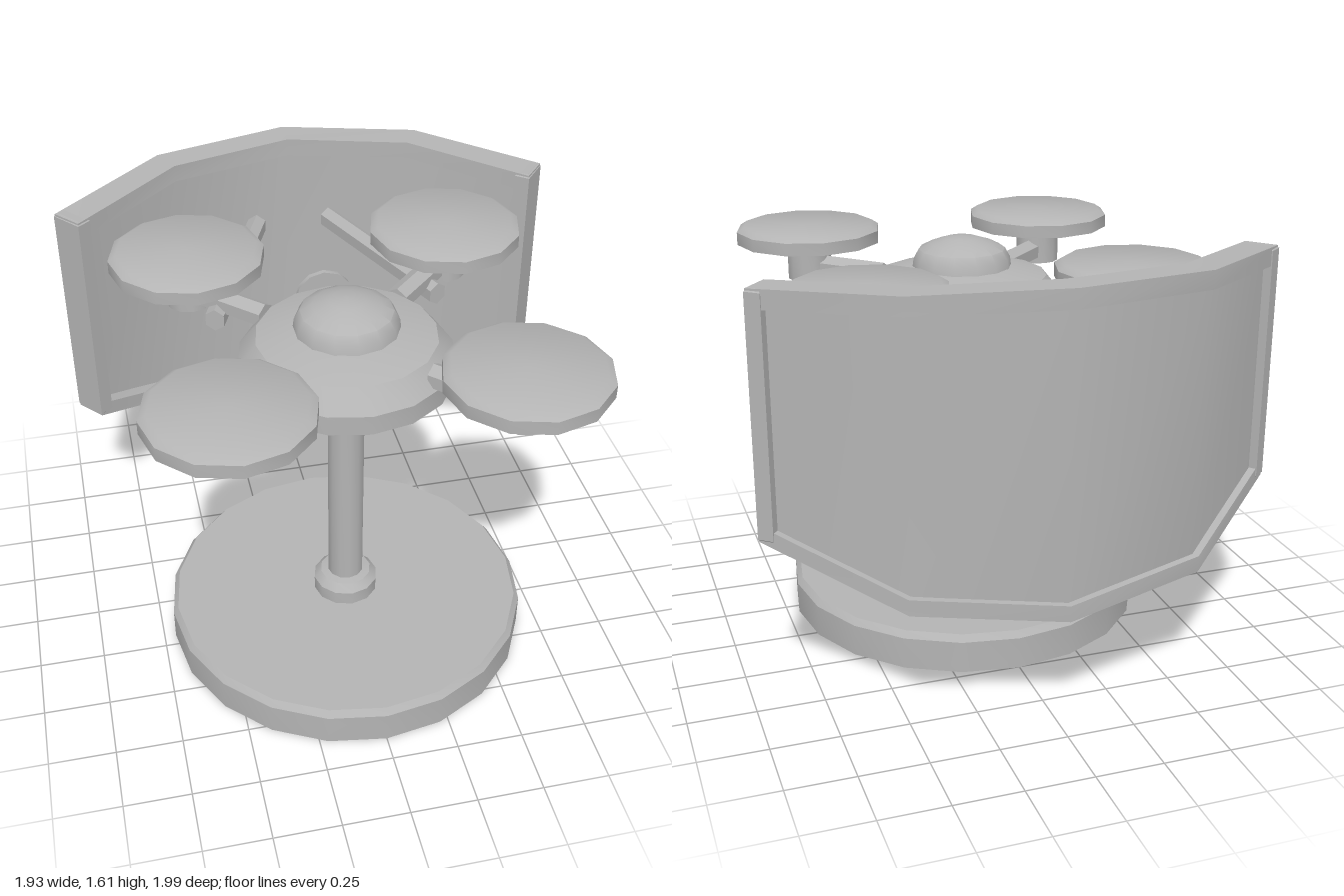
import * as THREE from 'three';
import { toCreasedNormals } from 'three/addons/utils/BufferGeometryUtils.js';

export function createModel() {
  const model = new THREE.Group();
  // Double sided: the base, motors and rotors are shells open underneath
  const grey = new THREE.MeshStandardMaterial({ color: 0xb4b4b4, side: THREE.DoubleSide });
  grey.name = 'grey';

  const add = (name, geometry, x = 0, y = 0, z = 0) => {
    const mesh = new THREE.Mesh(toCreasedNormals(geometry, 0.6), grey);
    mesh.name = name;
    mesh.position.set(x, y, z);
    model.add(mesh);
    return mesh;
  };
  // Turned part from [radius, height] pairs, bottom to top
  const turned = (profile, sides) =>
    new THREE.LatheGeometry(profile.map(([r, y]) => new THREE.Vector2(r, y)), sides);
  // Six-sided bar between two points
  const bar = (name, from, to, radius, flatten = 1) => {
    const a = new THREE.Vector3(...from), b = new THREE.Vector3(...to);
    const g = new THREE.CylinderGeometry(radius, radius, a.distanceTo(b), 6);
    g.rotateX(Math.PI / 2);
    g.scale(flatten, 1, 1);
    const mid = a.clone().add(b).multiplyScalar(0.5);
    add(name, g, mid.x, mid.y, mid.z).lookAt(b);
  };
  // Closed solid through rings of four corners
  const loft = (rings) => {
    const pos = [];
    const tri = (...pts) => pts.forEach((p) => pos.push(...p));
    for (let i = 0; i < rings.length - 1; i++) {
      for (let k = 0; k < 4; k++) {
        const n = (k + 1) % 4;
        tri(rings[i][k], rings[i + 1][k], rings[i + 1][n]);
        tri(rings[i][k], rings[i + 1][n], rings[i][n]);
      }
    }
    const [A, B, C, D] = rings[0], [E, F, G, H] = rings[rings.length - 1];
    tri(A, B, C); tri(A, C, D);
    tri(E, G, F); tri(E, H, G);
    const g = new THREE.BufferGeometry();
    g.setAttribute('position', new THREE.Float32BufferAttribute(pos, 3));
    return g;
  };

  // Stand and hovering body share one axis
  const cz = 0.2;
  add('base', turned([[0.705, 0], [0.705, 0.125], [0.685, 0.15], [0, 0.15]], 20), 0, 0, cz);
  add('poleFoot', turned([[0.127, 0.15], [0.127, 0.205], [0.1, 0.235], [0.07, 0.24]], 12), 0, 0, cz);
  add('pole', turned([[0.07, 0.15], [0.07, 1.12]], 12), 0, 0, cz);
  add('poleCollar', turned([[0.07, 1.095], [0.085, 1.1], [0.125, 1.13], [0.125, 1.19]], 12), 0, 0, cz);
  add('body', turned([[0, 1.18], [0.35, 1.18], [0.395, 1.21], [0.395, 1.285],
    [0.33, 1.365], [0.19, 1.4], [0, 1.4]], 16), 0, 0, cz);
  add('dome', turned([[0.195, 1.38], [0.188, 1.43], [0.168, 1.466], [0.125, 1.488],
    [0.065, 1.508], [0, 1.515]], 14), 0, 0, cz);

  // Lens on the back of the body
  add('lensRing', turned([[0, 0], [0.11, 0], [0.11, 0.02], [0.095, 0.035], [0, 0.035]], 12),
    0, 1.285, -0.18).rotation.x = -Math.PI / 2;
  add('lens', turned([[0.072, 0], [0.07, 0.03], [0.045, 0.062], [0, 0.075]], 12),
    0, 1.285, -0.205).rotation.x = -Math.PI / 2;

  // Four arms with motors and rotor discs
  for (const sx of [-1, 1]) {
    for (const sz of [-1, 1]) {
      const x = sx * 0.5, z = cz + sz * 0.5;
      bar('arm', [sx * 0.25, 1.32, cz + sz * 0.25], [sx * 0.47, 1.32, cz + sz * 0.47], 0.048);
      add('motor', turned([[0.09, 1.27], [0.09, 1.395], [0.075, 1.412], [0, 1.412]], 12), x, 0, z);
      add('rotor', turned([[0.293, 1.425], [0.293, 1.475], [0.265, 1.493], [0, 1.493]], 12), x, 0, z);
    }
    // Struts reaching back toward the shield
    bar('strut', [sx * 0.43, 1.28, -0.12], [sx * 0.15, 1.28, -0.8], 0.045, 0.9);
  }

  // Curved shield: columns as [x, z] inside and outside, with four heights
  const half = [
    { inn: [0.88, -0.435], out: [0.96, -0.53], y: [0.68, 0.74, 1.5, 1.57] },
    { inn: [0.475, -0.77], out: [0.53, -0.88], y: [0.5, 0.56, 1.53, 1.597] },
    { inn: [0, -0.88], out: [0, -1], y: [0.45, 0.51, 1.54, 1.61] },
  ];
  const mirror = (c) => ({ inn: [-c.inn[0], c.inn[1]], out: [-c.out[0], c.out[1]], y: c.y });
  const columns = [mirror(half[0]), mirror(half[1]), half[2], half[1], half[0]];
  const wall = (t0, t1, low, high, grow = 0) => loft(columns.map((c) => {
    const at = (t, y) => [
      c.inn[0] + (c.out[0] - c.inn[0]) * t, y, c.inn[1] + (c.out[1] - c.inn[1]) * t];
    const y0 = c.y[low] - grow, y1 = c.y[high] + grow;
    return [at(t0, y0), at(t0, y1), at(t1, y1), at(t1, y0)];
  }));
  add('shieldTopRail', wall(0, 1, 2, 3));
  add('shieldBottomRail', wall(0, 1, 0, 1));
  add('shieldPanel', wall(0.4, 0.78, 1, 2, 0.02));

  // Bevelled posts closing both ends of the shield
  const w = 0.018, d = 0.054;
  const section = new THREE.Shape([[-w, -d], [w, -d], [w, d], [-w, d]].map((p) => new THREE.Vector2(...p)));
  for (const s of [-1, 1]) {
    const post = new THREE.ExtrudeGeometry(section, {
      depth: 0.87, bevelThickness: 0.012, bevelSize: 0.012, bevelSegments: 1 });
    post.rotateX(-Math.PI / 2);
    add('shieldPost', post, s * 0.899, 0.69, -0.5).rotation.y = -s * 0.686;
  }
  return model;
}
